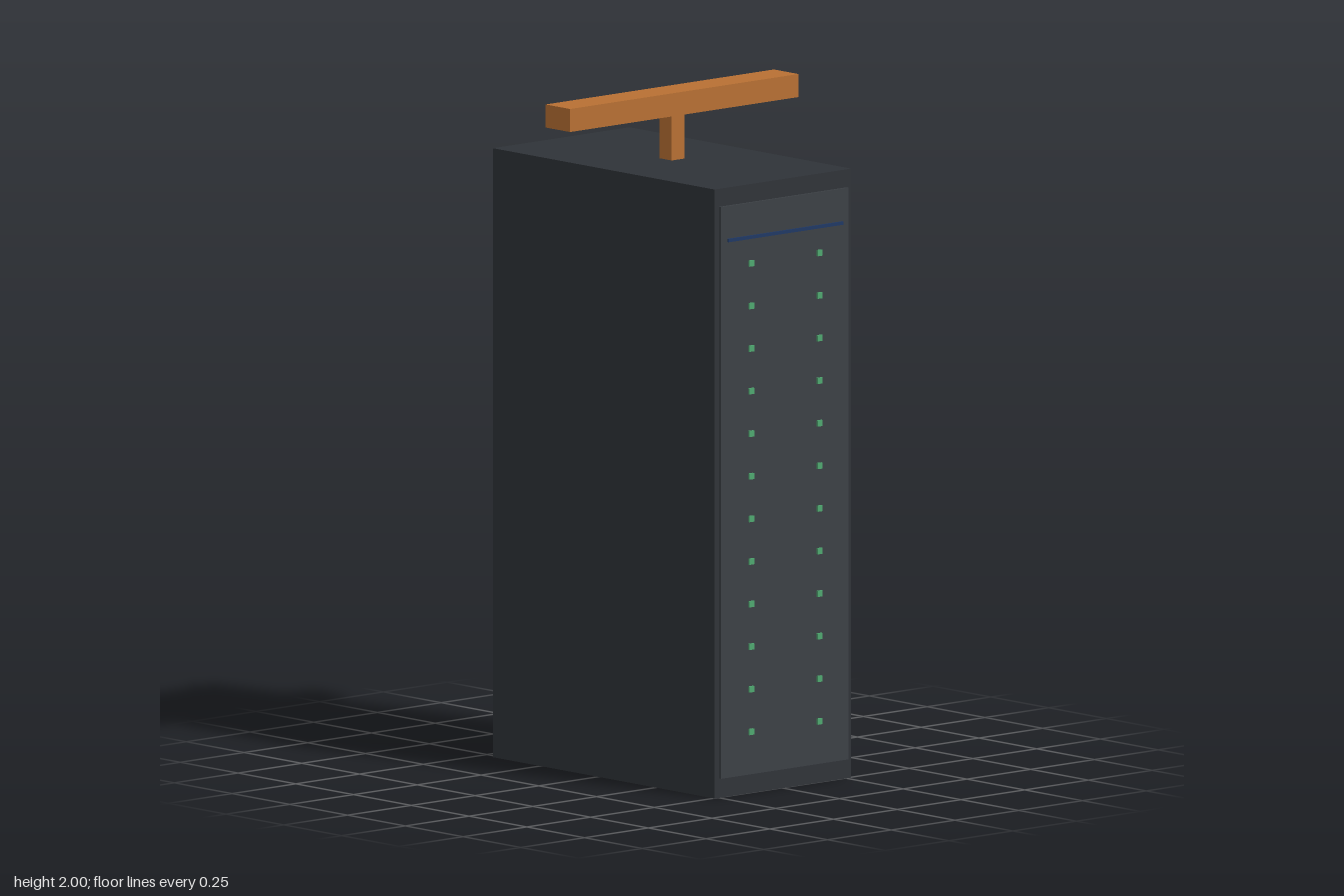
import * as THREE from 'three';

const mat = (color) => new THREE.MeshStandardMaterial({ color, flatShading: true });

export function createModel() {
  const group = new THREE.Group();
  const steel = mat(0x2f3338), panel = mat(0x3c4045), copper = mat(0xb87033);
  const green = mat(0x4fa870), navy = mat(0x1f3864), blue = mat(0x3a75a8), red = mat(0xa8433f);

  const add = (name, geometry, material, x, y, z) => {
    const mesh = new THREE.Mesh(geometry, material);
    mesh.name = name;
    mesh.position.set(x, y, z);
    group.add(mesh);
  };
  const box = (name, material, w, h, d, x, y, z) =>
    add(name, new THREE.BoxGeometry(w, h, d), material, x, y, z);

  // Cabinet with thin front and back doors
  const midZ = 0.025;
  box('cabinet', steel, 0.536, 1.796, 0.96, 0, 0.898, midZ);
  box('frontDoor', panel, 0.5, 1.686, 0.02, 0, 0.9, 0.503);
  box('backDoor', panel, 0.5, 1.686, 0.02, 0, 0.9, -0.455);

  // Light strip and two columns of indicator lights on the front door
  box('lightStrip', navy, 0.45, 0.01, 0.01, 0, 1.642, 0.513);
  for (let i = 0; i < 12; i++) {
    for (const side of [-1, 1]) {
      box('indicatorLight', green, 0.018, 0.018, 0.01, side * 0.134, 0.183 + i * 0.1256, 0.514);
    }
  }

  // Overhead bar on a short post
  box('barPost', copper, 0.05, 0.14, 0.052, 0, 1.864, midZ);
  box('overheadBar', copper, 0.896, 0.068, 0.106, 0, 1.966, midZ);

  // Coolant pipes standing behind the back door
  const pipe = new THREE.CylinderGeometry(0.0215, 0.0215, 1.706, 8);
  add('leftPipe', pipe, red, 0.197, 0.9, -0.5);
  add('rightPipe', pipe, blue, -0.197, 0.9, -0.5);

  return group;
}
